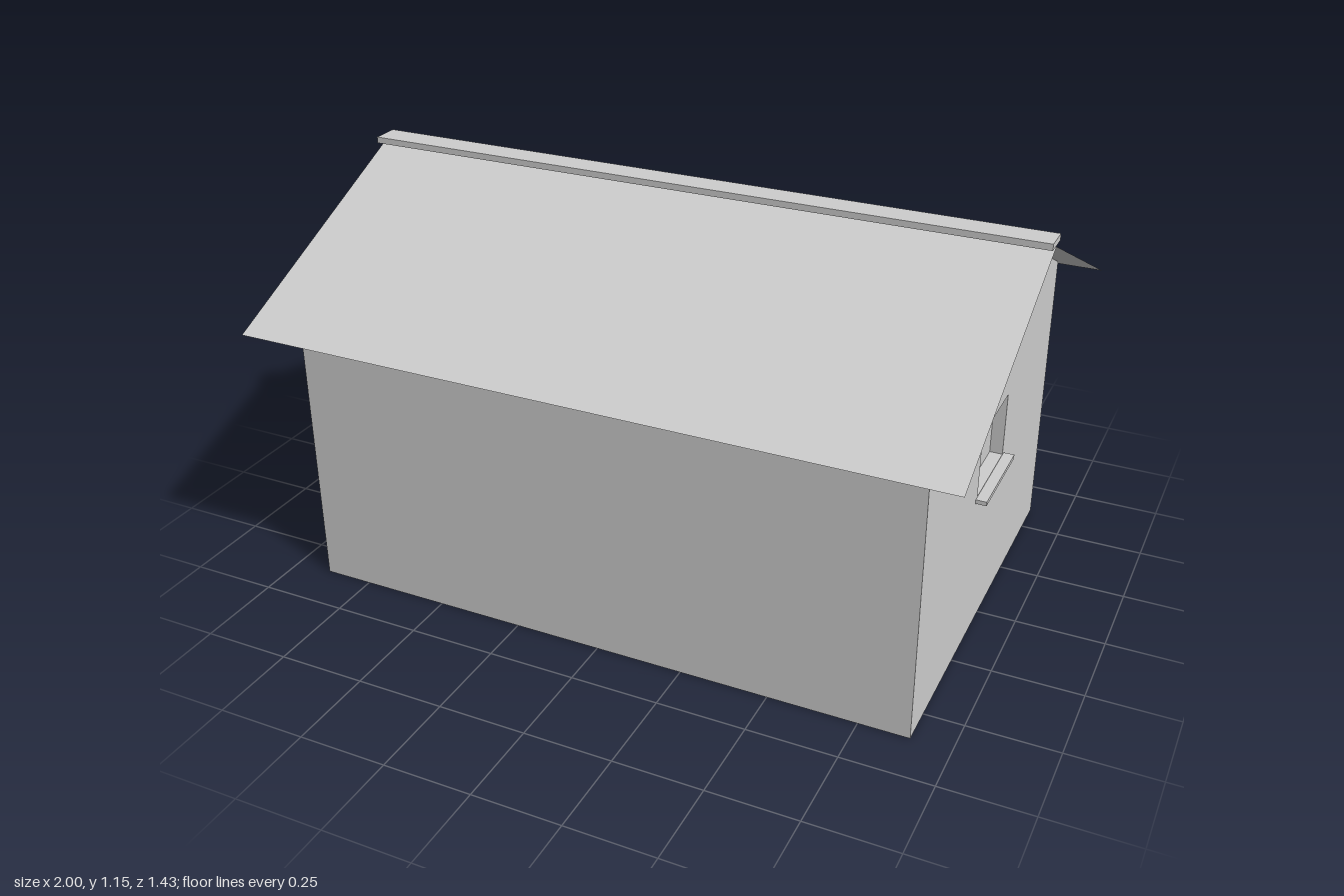
import * as THREE from 'three';

const HALF_X = 0.89, HALF_Z = 0.607, EAVE = 0.84, RIDGE = 1.125;
const ROOF_X = 1, ROOF_Z = 0.715, ROOF_EAVE = 0.79;

const grey = new THREE.MeshStandardMaterial({ color: 0xcccccc, side: THREE.DoubleSide });
grey.name = 'plain grey';

function part(name, geometry, x = 0, y = 0, z = 0) {
  const mesh = new THREE.Mesh(geometry, grey);
  mesh.name = name;
  mesh.position.set(x, y, z);
  return mesh;
}

// Flat wall sheet in the xy plane facing +z, with an optional opening
function wallSheet(outline, opening) {
  const shape = new THREE.Shape(outline.map(([x, y]) => new THREE.Vector2(x, y)));
  if (opening) {
    const { w, y0, y1 } = opening;
    shape.holes.push(new THREE.Path([
      new THREE.Vector2(-w / 2, y0), new THREE.Vector2(-w / 2, y1),
      new THREE.Vector2(w / 2, y1), new THREE.Vector2(w / 2, y0),
    ]));
  }
  return new THREE.ShapeGeometry(shape);
}

// Four-sided lining of an opening: a box without its front and back faces
function revealGeometry(w, h, d) {
  const box = new THREE.BoxGeometry(w, h, d);
  box.setIndex(Array.from(box.index.array).slice(0, 24));
  box.clearGroups();
  return box;
}

// Wall with a shallow recess closed by a panel at the back
function recessedWall(name, outline, opening, panelName) {
  const group = new THREE.Group();
  group.name = name;
  const { w, y0, y1, depth } = opening;
  const h = y1 - y0, mid = (y0 + y1) / 2;
  group.add(
    part(name + 'Sheet', wallSheet(outline, opening)),
    part(panelName + 'Reveal', revealGeometry(w, h, depth), 0, mid, -depth / 2),
    part(panelName, new THREE.PlaneGeometry(w, h), 0, mid, -depth),
  );
  return group;
}

export function createModel() {
  const house = new THREE.Group();
  house.name = 'house';

  // Long walls: plain at the front, door at the back
  const longOutline = [[-HALF_X, 0], [HALF_X, 0], [HALF_X, EAVE], [-HALF_X, EAVE]];
  house.add(part('frontWall', wallSheet(longOutline), 0, 0, HALF_Z));
  const back = recessedWall('backWall', longOutline,
    { w: 0.36, y0: 0.02, y1: 0.69, depth: 0.025 }, 'door');
  back.position.z = -HALF_Z;
  back.rotation.y = Math.PI;
  house.add(back);

  // Gable walls, each with a recessed window and a projecting sill
  const gableOutline = [[-HALF_Z, 0], [HALF_Z, 0], [HALF_Z, EAVE], [0, RIDGE], [-HALF_Z, EAVE]];
  for (const side of [1, -1]) {
    const gable = recessedWall(side > 0 ? 'leftGable' : 'rightGable', gableOutline,
      { w: 0.25, y0: 0.445, y1: 0.63, depth: 0.036 }, 'window');
    gable.add(part('windowSill', new THREE.BoxGeometry(0.28, 0.012, 0.03), 0, 0.437, 0.015));
    gable.position.x = side * HALF_X;
    gable.rotation.y = side * Math.PI / 2;
    house.add(gable);
  }

  // Thin roof slopes reaching past the walls
  const slopeLength = Math.hypot(ROOF_Z, RIDGE - ROOF_EAVE);
  const pitch = Math.atan2(RIDGE - ROOF_EAVE, ROOF_Z);
  for (const side of [1, -1]) {
    const geometry = new THREE.PlaneGeometry(ROOF_X * 2, slopeLength)
      .rotateX(-Math.PI / 2 + side * pitch);
    house.add(part(side > 0 ? 'frontRoofSlope' : 'backRoofSlope', geometry,
      0, (RIDGE + ROOF_EAVE) / 2, side * ROOF_Z / 2));
  }

  // Flat ridge board
  house.add(part('ridgeCap', new THREE.BoxGeometry(ROOF_X * 2, 0.018, 0.08), 0, 1.137, 0));

  return house;
}
